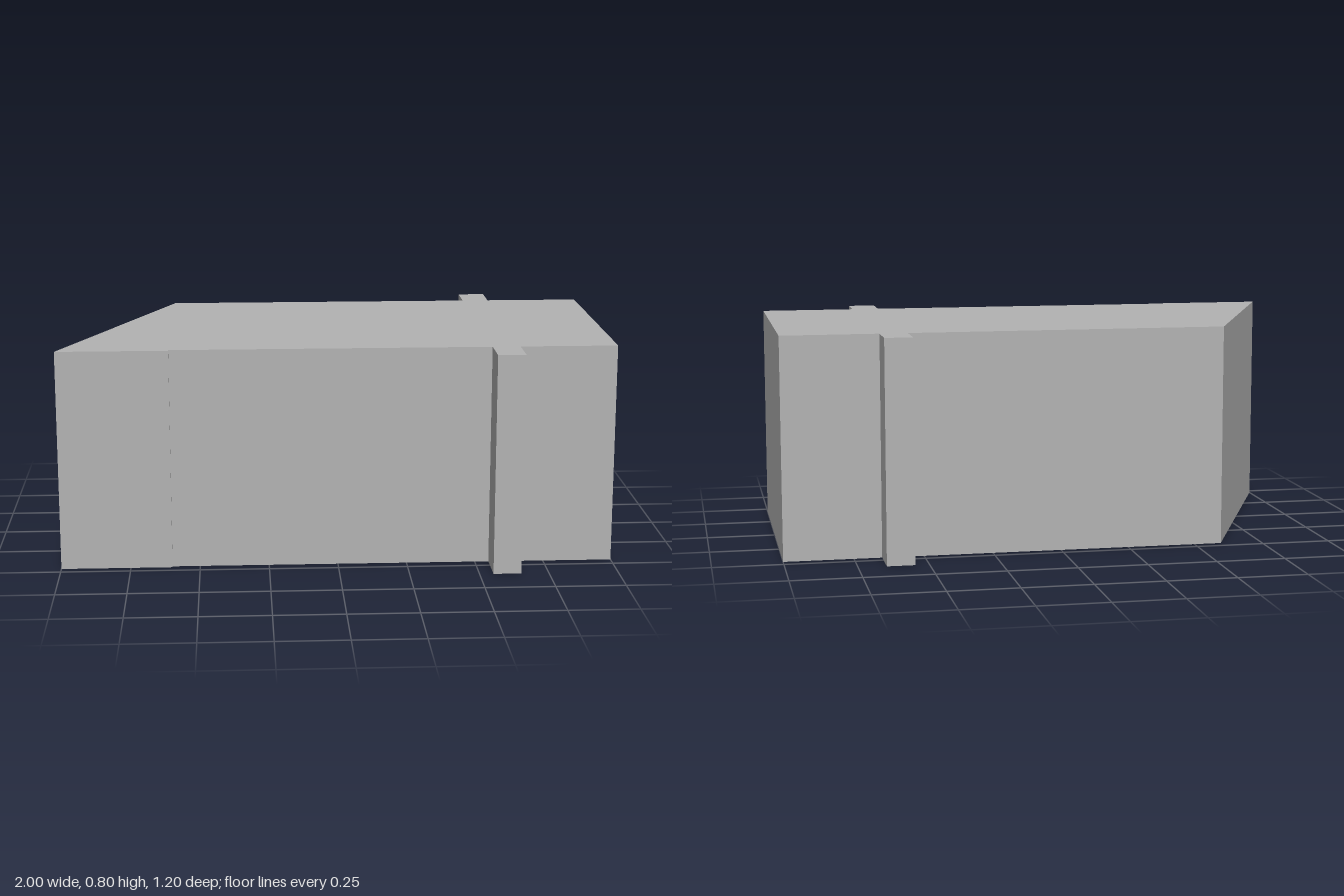
import * as THREE from 'three';

const HEIGHT = 0.8;

// Upright prism from a floor plan given as [x, z] corners
function prism(name, plan, material) {
  const shape = new THREE.Shape(plan.map(([x, z]) => new THREE.Vector2(x, -z)));
  const geometry = new THREE.ExtrudeGeometry(shape, { depth: HEIGHT, bevelEnabled: false });
  geometry.rotateX(-Math.PI / 2);
  const mesh = new THREE.Mesh(geometry, material);
  mesh.name = name;
  return mesh;
}

export function createModel() {
  const group = new THREE.Group();
  group.name = 'slantedBlock';
  const grey = new THREE.MeshStandardMaterial({ color: 0xb3b3b3 });
  grey.name = 'grey';

  // Block with one slanted end; the slanted part stands slightly proud at the front
  group.add(prism('body', [
    [-1, 0.465], [-0.6, 0.465], [-0.6, 0.455], [1, 0.455], [1, -0.46], [-0.6, -0.46],
  ], grey));

  // Full-height ribs on the front and back
  for (const [name, z0, z1] of [['frontRib', 0.455, 0.6], ['backRib', -0.6, -0.46]]) {
    group.add(prism(name, [[0.55, z1], [0.65, z1], [0.65, z0], [0.55, z0]], grey));
  }
  return group;
}
